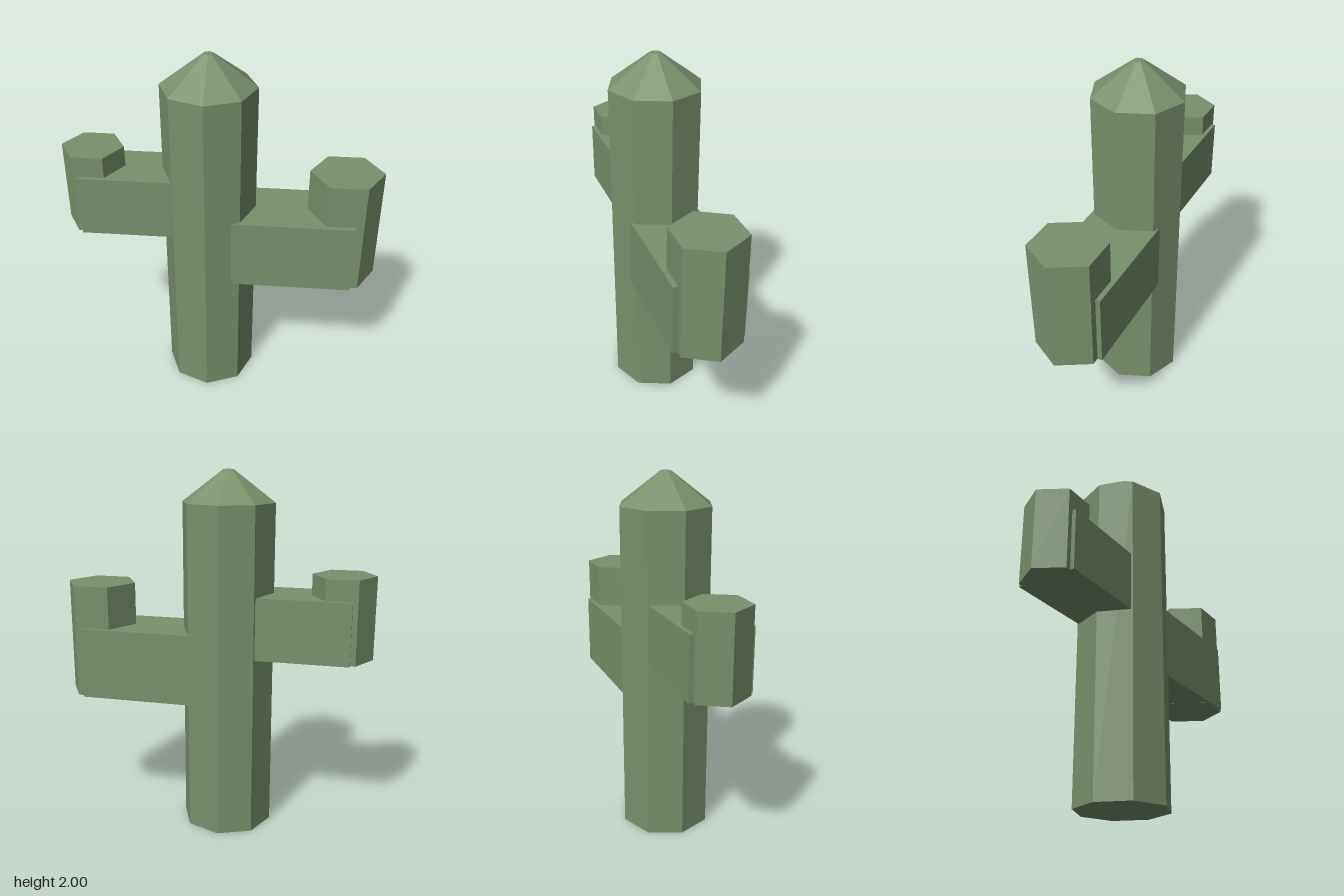
import * as THREE from 'three';

export function createModel() {
  const group = new THREE.Group();
  group.name = 'cactus';

  const green = new THREE.MeshStandardMaterial({ color: 0x78916c, flatShading: true });
  green.name = 'cactus green';

  const add = (name, geometry, x, y, parent = group) => {
    const mesh = new THREE.Mesh(geometry, green);
    mesh.name = name;
    mesh.position.set(x, y, 0);
    parent.add(mesh);
  };

  // Eight-sided trunk with a blunt pointed cap
  const trunkX = -0.07, trunkRadius = 0.255, trunkHeight = 1.83, capHeight = 0.17;
  add('trunk', new THREE.CylinderGeometry(trunkRadius, trunkRadius, trunkHeight, 8), trunkX, trunkHeight / 2);
  add('cap', new THREE.CylinderGeometry(0.028, trunkRadius, capHeight, 8), trunkX, trunkHeight + capHeight / 2);

  // Each arm is a square branch from the trunk centre and a six-sided upright at its end
  const addArm = (name, { end, bottom, size, tipX, tipRadius, tipTop }) => {
    const arm = new THREE.Group();
    arm.name = name;
    group.add(arm);
    const branch = new THREE.BoxGeometry(Math.abs(end - trunkX), size, size);
    add('branch', branch, (end + trunkX) / 2, bottom + size / 2, arm);
    const height = tipTop - bottom;
    const tip = new THREE.CylinderGeometry(tipRadius, tipRadius, height, 6, 1, false, Math.PI / 2);
    // Keeps the coplanar undersides from flickering
    add('upright', tip, tipX, bottom + height / 2 - 0.0005, arm);
  };

  addArm('leftArm', { end: 0.727, bottom: 0.735, size: 0.397, tipX: 0.669, tipRadius: 0.199, tipTop: 1.37 });
  addArm('rightArm', { end: -0.757, bottom: 1.01, size: 0.34, tipX: -0.7, tipRadius: 0.17, tipTop: 1.465 });

  return group;
}
